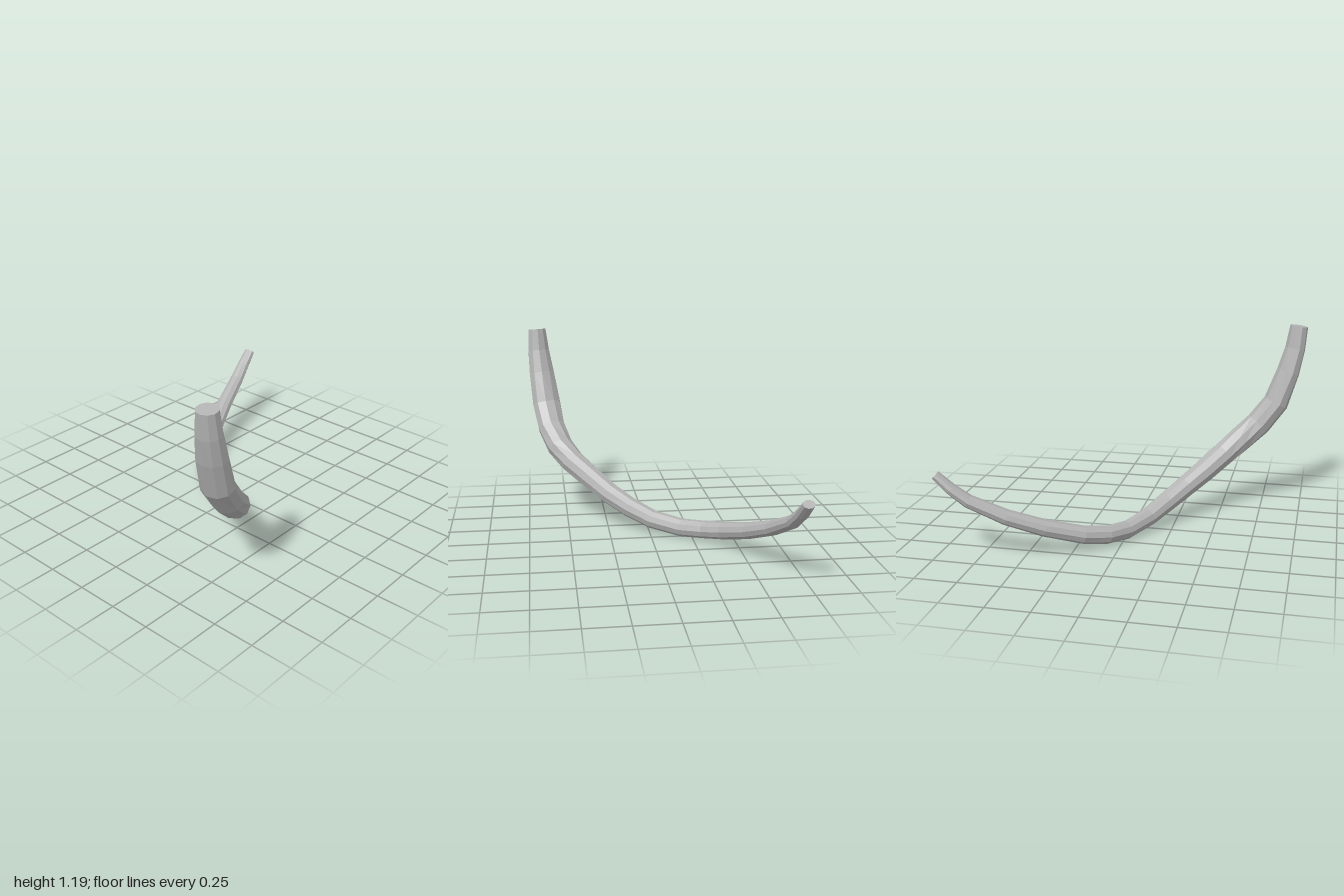
import * as THREE from 'three';

// Centreline rings: x, y, z, half width, half thickness
const RINGS = [
  [-0.70, 0.505, -0.975, 0.036, 0.026],
  [-0.69, 0.425, -0.89, 0.042, 0.033],
  [-0.67, 0.353, -0.80, 0.047, 0.038],
  [-0.61, 0.25, -0.60, 0.053, 0.045],
  [-0.525, 0.168, -0.40, 0.057, 0.050],
  [-0.42, 0.102, -0.20, 0.058, 0.053],
  [-0.32, 0.072, -0.08, 0.056, 0.054],
  [-0.19, 0.060, 0.01, 0.054, 0.056],
  [-0.02, 0.088, 0.11, 0.057, 0.058],
  [0.115, 0.145, 0.20, 0.063, 0.063],
  [0.235, 0.212, 0.295, 0.069, 0.068],
  [0.345, 0.29, 0.40, 0.075, 0.073],
  [0.46, 0.375, 0.505, 0.081, 0.077],
  [0.535, 0.455, 0.60, 0.087, 0.080],
  [0.585, 0.56, 0.715, 0.092, 0.081],
  [0.613, 0.70, 0.82, 0.096, 0.079],
  [0.64, 0.90, 0.888, 0.088, 0.070],
  [0.657, 1.05, 0.925, 0.074, 0.062],
  [0.665, 1.192, 0.943, 0.060, 0.056],
];
const SIDES = 10;

// Skins elliptical sections along the centreline and closes both ends
function taperedTube() {
  const up = new THREE.Vector3(0, 1, 0);
  const centres = RINGS.map(([x, y, z]) => new THREE.Vector3(x, y, z));
  const last = RINGS.length - 1;
  const positions = [];
  const index = [];

  centres.forEach((c, i) => {
    const tangent = centres[Math.min(i + 1, last)].clone()
      .sub(centres[Math.max(i - 1, 0)]).normalize();
    const side = up.clone().cross(tangent).normalize();
    const normal = tangent.clone().cross(side);
    for (let j = 0; j < SIDES; j++) {
      const t = (j / SIDES) * Math.PI * 2;
      const p = c.clone()
        .addScaledVector(side, Math.cos(t) * RINGS[i][3])
        .addScaledVector(normal, Math.sin(t) * RINGS[i][4]);
      positions.push(p.x, p.y, p.z);
    }
  });

  for (let i = 0; i < last; i++) {
    for (let j = 0; j < SIDES; j++) {
      const k = (j + 1) % SIDES;
      const a = i * SIDES + j, b = i * SIDES + k;
      index.push(a, b, a + SIDES, b, b + SIDES, a + SIDES);
    }
  }

  // End caps
  const end = last * SIDES;
  for (let j = 1; j < SIDES - 1; j++) {
    index.push(0, j + 1, j);
    index.push(end, end + j, end + j + 1);
  }

  const geometry = new THREE.BufferGeometry();
  geometry.setAttribute('position', new THREE.Float32BufferAttribute(positions, 3));
  geometry.setIndex(index);
  geometry.computeVertexNormals();
  return geometry;
}

export function createModel() {
  const group = new THREE.Group();
  group.name = 'curvedStem';
  const material = new THREE.MeshStandardMaterial({ color: 0xb4b4b4, flatShading: true });
  material.name = 'light grey';
  const stem = new THREE.Mesh(taperedTube(), material);
  stem.name = 'stem';
  group.add(stem);
  return group;
}
